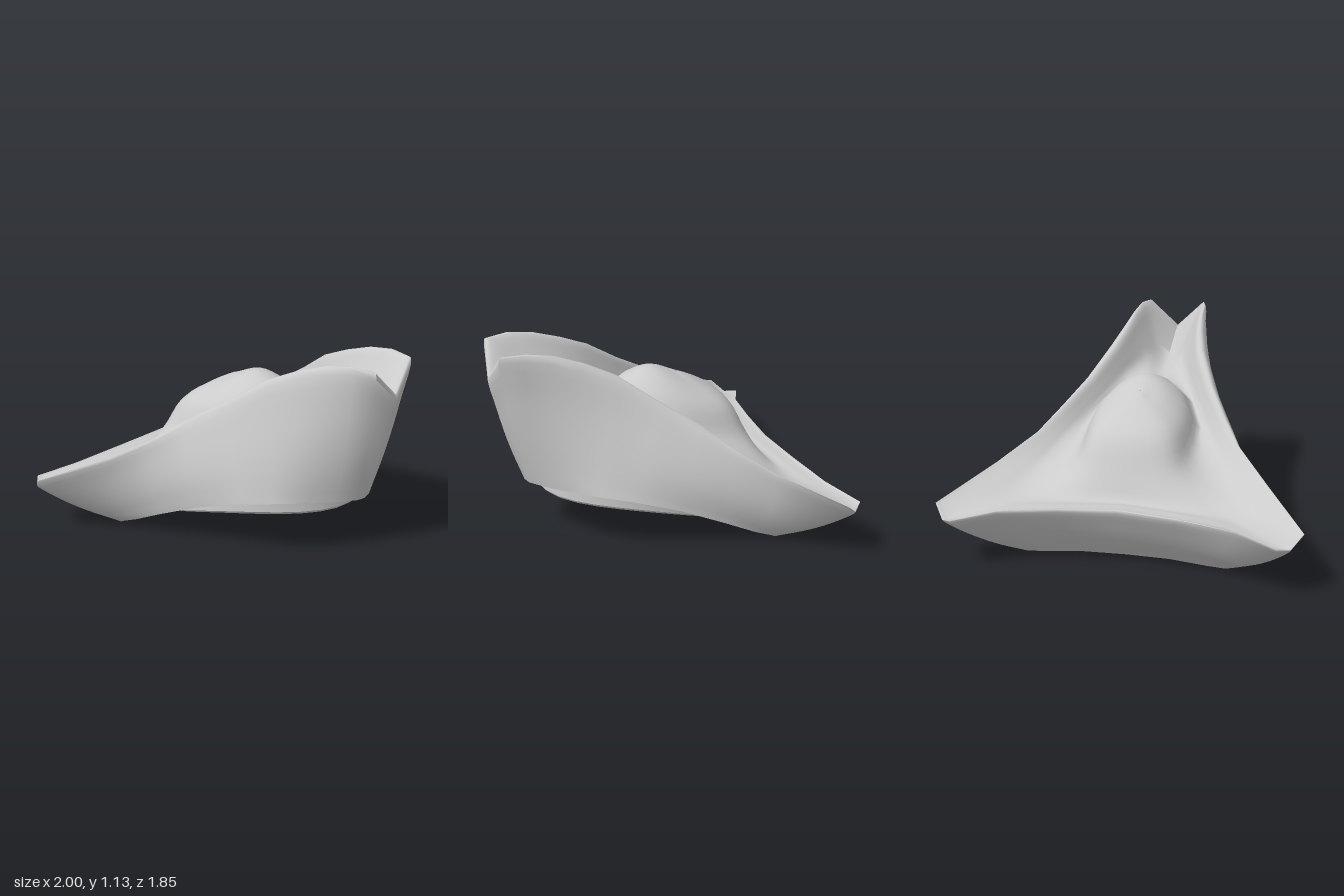
import * as THREE from 'three';
import { toCreasedNormals } from 'three/addons/utils/BufferGeometryUtils.js';

const V = (x, y, z) => new THREE.Vector3(x, y, z);
const toV = (a) => a.map((p) => V(...p));

// Half outlines, from the front centre round the +x side to the back centre.
const fold = toV([
  [0, .305, .74], [.06, .31, .73], [.16, .315, .66], [.27, .32, .56], [.345, .323, .49],
  [.405, .325, .42], [.49, .31, .26], [.55, .24, 0], [.585, .14, -.25], [.6, .06, -.43],
  [.595, .02, -.53], [.585, .003, -.56], [.56, 0, -.575], [.45, .005, -.57],
  [.25, .02, -.56], [0, .02, -.55]]);
const rim = toV([
  [0, .95, .92], [.17, 1.11, .895], [.2, 1.12, .77], [.215, 1.1, .63], [.24, 1.045, .46],
  [.28, .97, .28], [.37, .83, .07], [.47, .715, -.12], [.575, .6, -.27], [.75, .48, -.47],
  [1, .34, -.8], [.94, .275, -.87], [.875, .295, -.93], [.65, .33, -.83],
  [.33, .35, -.78], [0, .36, -.75]]);
const valley = toV([
  [0, .83, .6], [.04, .84, .57], [.07, .86, .52], [.1, .86, .45], [.13, .84, .37],
  [.18, .81, .26], [.27, .72, .08], [.36, .64, -.08], [.43, .56, -.22], [.51, .46, -.4],
  [.56, .39, -.54], [.5, .36, -.59], [.44, .36, -.61], [.35, .355, -.63],
  [.2, .355, -.63], [0, .36, -.62]]);

// Height of the sloping underside.
const under = (z) => Math.max(.01, .24 + .33 * z - .3 * z * z);

// Mirrors a half outline into a closed ring.
const ring = (half) => [...half,
  ...half.slice(1, -1).reverse().map((p) => V(-p.x, p.y, p.z))];

// Skins a list of rings, running from the bottom centre outwards and up.
function skin(rings, crease) {
  const n = rings[0].length, pos = [], idx = [];
  for (const r of rings) for (const p of r) pos.push(p.x, p.y, p.z);
  for (let r = 0; r < rings.length - 1; r++) {
    for (let i = 0; i < n; i++) {
      const a = r * n + i, b = r * n + (i + 1) % n;
      idx.push(a, b, a + n, b, b + n, a + n);
    }
  }
  const geo = new THREE.BufferGeometry();
  geo.setAttribute('position', new THREE.Float32BufferAttribute(pos, 3));
  geo.setIndex(idx);
  return toCreasedNormals(geo, crease);
}

// Smooths across the rings.
function refine(rings, sub = 4) {
  const count = (rings.length - 1) * sub;
  const curves = rings[0].map((_, i) => new THREE.CatmullRomCurve3(rings.map((r) => r[i])));
  return Array.from({ length: count + 1 }, (_, k) => curves.map((c) => c.getPoint(k / count)));
}

// Underside ring: the fold line shrunk towards the middle.
const underside = (s) => fold.map((p) => {
  const z = .05 + (p.z - .05) * s;
  return V(p.x * s, s > .9 ? p.y + .005 : under(z) + .01, z);
});

// Outer flap ring between fold and rim, bulging most along the rear sides.
const flap = (t) => fold.map((p, i) => {
  const out = V(p.x, 0, p.z - .05).normalize();
  const bulge = (i > 6 && i < 13 ? .05 : .02) * Math.sin(Math.PI * t);
  return p.clone().lerp(rim[i], t).addScaledVector(out, bulge);
});

// Inner edge of the rim, giving the flap its thickness.
const rimInner = rim.map((p, i) => {
  const d = valley[i].clone().sub(p).setY(0).normalize();
  return p.clone().addScaledVector(d, .035);
});

// Crown ring: round in front, squarer behind, leaning up towards the front.
const crown = (k, y, lean) => valley.map((p) => {
  const a = Math.atan2(p.x, p.z + .17), s = Math.sin(a), c = Math.cos(a);
  const square = c < 0 ? Math.pow(s ** 4 + c ** 4, -.25 * k) : 1;
  return V(k * .33 * s * square, y + lean * c - .05 * k * s * s, -.17 + k * .39 * c * square);
});

// Headband ring on the sloping underside, thinner towards the back.
const bandRing = (k, lift) => Array.from({ length: 15 }, (_, i) => {
  const a = Math.PI * i / 14;
  const z = .07 + k * .59 * Math.cos(a);
  return V(k * .49 * Math.sin(a), Math.max(.006, under(z) + lift * (.8 + .4 * z)), z);
});

export function createModel() {
  const group = new THREE.Group();
  const material = new THREE.MeshStandardMaterial({ color: 0xcccccc, side: THREE.DoubleSide });
  const add = (name, geo) => {
    const mesh = new THREE.Mesh(geo, material);
    mesh.name = name;
    group.add(mesh);
  };

  // Brim folded up on three sides, with the crown rising from the shallow inside
  const inner = rimInner.map((p, i) => p.clone().lerp(valley[i], .5));
  const profile = [fold, flap(.35), flap(.7), rim, rimInner, inner, valley,
    crown(1, .635, .165), crown(.75, .765, .095), crown(.4, .835, .065), crown(.01, .85, 0)];
  add('brimAndCrown', skin(refine(profile.map(ring)), 1.2));

  // Closed underside of the brim
  add('brimUnderside', skin([
    ...[.01, .4, .8, .97].map(underside), fold].map(ring), .7));

  // Headband with a shallow oval inset
  add('headband', skin([
    [.01, -.06], [.3, -.06], [.64, -.06], [.645, -.072], [.8, -.073],
    [.97, -.073], [1, -.055], [1, 0],
  ].map(([k, lift]) => ring(bandRing(k, lift))), .6));

  return group;
}
